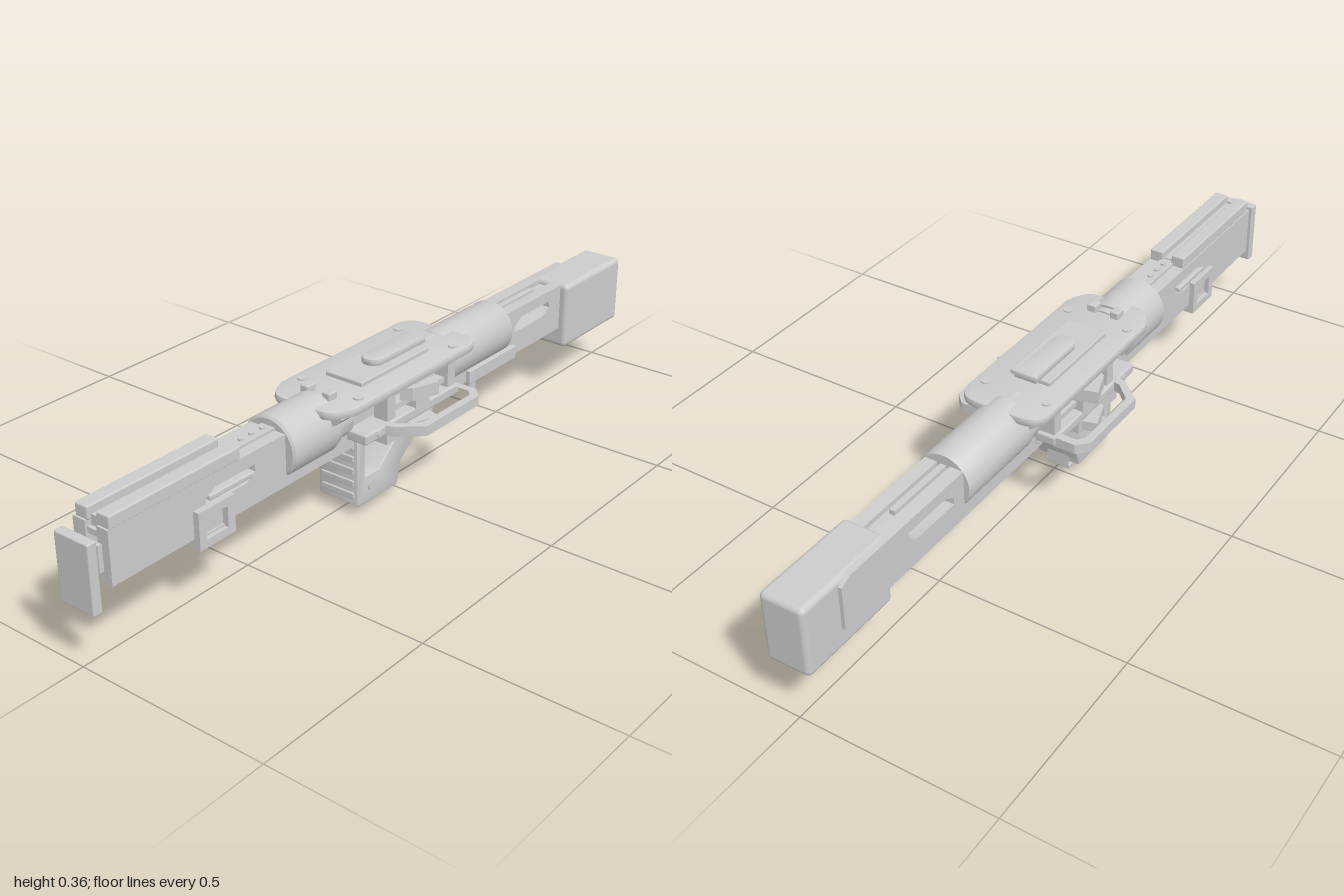
import * as THREE from 'three';
import { toCreasedNormals } from 'three/addons/utils/BufferGeometryUtils.js';
import { RoundedBoxGeometry } from 'three/addons/geometries/RoundedBoxGeometry.js';

const metal = new THREE.MeshStandardMaterial({ color: 0xcccccc });
metal.name = 'light grey';

export function createModel() {
  const model = new THREE.Group();
  model.name = 'launcher';

  const add = (name, geometry) => {
    const mesh = new THREE.Mesh(geometry, metal);
    mesh.name = name;
    model.add(mesh);
    return mesh;
  };
  // box from its limits on each axis, optionally rounded
  const box = (name, x0, x1, y0, y1, z0, z1, r = 0) => {
    const s = [x1 - x0, y1 - y0, z1 - z0];
    const g = r ? new RoundedBoxGeometry(...s, 3, r) : new THREE.BoxGeometry(...s);
    g.translate((x0 + x1) / 2, (y0 + y1) / 2, (z0 + z1) / 2);
    return add(name, g);
  };
  const poly = (pts, Type = THREE.Shape) => new Type(pts.map((p) => new THREE.Vector2(...p)));
  const extrude = (shape, depth, bevel = 0) => toCreasedNormals(new THREE.ExtrudeGeometry(shape, {
    depth: depth - 2 * bevel, bevelEnabled: bevel > 0, bevelSize: bevel, bevelOffset: -bevel,
    bevelThickness: bevel, bevelSegments: 2, curveSegments: 10,
  }).translate(0, 0, bevel), 0.6);
  // side profile in x/y, spread from z0 to z1
  const side = (name, shape, z0, z1, bevel) => add(name, extrude(shape, z1 - z0, bevel).translate(0, 0, z0));
  // plan outline in x/z, spread from y0 to y1
  const flat = (name, shape, y0, y1, bevel) =>
    add(name, extrude(shape, y1 - y0, bevel).rotateX(Math.PI / 2).translate(0, y1, 0));
  const tube = (name, profile, y = 0.27) => add(name, toCreasedNormals(new THREE.LatheGeometry(
    profile.map(([r, x]) => new THREE.Vector2(r, x)), 40), 0.6).rotateZ(-Math.PI / 2).translate(0, y, 0));
  const peg = (name, r, x, y, z, h, axis = 'y') => {
    const g = new THREE.CylinderGeometry(r, r, h, 16);
    if (axis === 'z') g.rotateX(Math.PI / 2);
    return add(name, toCreasedNormals(g.translate(x, y, z), 0.6));
  };

  // long body: two slotted side walls around a recessed core
  const slot = (x0, x1) => poly([[x0, 0.25], [x1 - 0.03, 0.25], [x1, 0.268], [x1, 0.285],
    [x0 + 0.03, 0.285], [x0, 0.267]], THREE.Path);
  for (const [z0, z1] of [[0.017, 0.05], [-0.053, -0.017]]) {
    const left = poly([[-0.945, 0.187], [0, 0.187], [0, 0.318], [-0.945, 0.318]]);
    left.holes.push(slot(-0.67, -0.515));
    side('leftBodyWall', left, z0, z1);
    const right = poly([[0, 0.187], [0.89, 0.187], [0.89, 0.3], [0.86, 0.315], [0, 0.315]]);
    right.holes.push(slot(0.5, 0.665));
    side('rightBodyWall', right, z0, z1);
  }
  box('lowerCore', -0.94, 0.1, 0.208, 0.245, -0.02, 0.02);
  box('lowerCoreFlush', 0.1, 0.86, 0.189, 0.245, -0.02, 0.02);
  box('upperCore', -0.94, 0.72, 0.288, 0.302, -0.02, 0.02);
  box('topStrip', 0.46, 0.65, 0.3, 0.314, -0.008, 0.008);

  // grooved sight rail and the rod that joins it to the sleeve
  for (const s of [-1, 1]) {
    box('sightRail', -0.94, -0.56, 0.316, 0.348, s > 0 ? 0.013 : -0.05, s > 0 ? 0.05 : -0.013, 0.004);
  }
  box('railFloor', -0.93, -0.57, 0.3, 0.328, -0.014, 0.014);
  box('railTongue', -0.57, -0.41, 0.3, 0.325, -0.02, 0.02);
  for (let i = 0; i < 4; i++) peg('railStud', 0.007, -0.54 + i * 0.035, 0.326, 0, 0.008);

  // front end plate on its neck
  box('endPlate', -1, -0.975, 0.14, 0.31, -0.05, 0.05, 0.004);
  box('endNeck', -0.976, -0.94, 0.23, 0.275, -0.025, 0.025);
  box('endNeckCollar', -0.962, -0.95, 0.22, 0.285, -0.035, 0.035);

  // rear cushion block
  box('rearBlock', 0.72, 1, 0.132, 0.317, -0.043, 0.073, 0.014);

  // round sleeves
  tube('frontSleeve', [[0, -0.415], [0.071, -0.415], [0.077, -0.41], [0.077, -0.255],
    [0.07, -0.255], [0.07, -0.235], [0.064, -0.235], [0.064, -0.19], [0, -0.19]]);
  tube('rearSleeve', [[0, 0.16], [0.066, 0.16], [0.066, 0.2], [0.071, 0.205], [0.071, 0.457],
    [0.068, 0.462], [0, 0.462]]);
  box('sleeveCatch', -0.255, -0.225, 0.33, 0.354, -0.045, -0.02, 0.004);
  box('sleeveCatch', -0.255, -0.225, 0.33, 0.354, 0.02, 0.045, 0.004);

  // top deck with sloped underside and raised lever
  const deck = new THREE.Shape();
  deck.moveTo(-0.24, -0.115);
  deck.lineTo(0.19, -0.115);
  deck.quadraticCurveTo(0.25, -0.115, 0.25, -0.06);
  deck.lineTo(0.25, 0.06);
  deck.quadraticCurveTo(0.25, 0.115, 0.19, 0.115);
  deck.lineTo(-0.24, 0.115);
  deck.quadraticCurveTo(-0.305, 0.095, -0.305, 0.06);
  deck.lineTo(-0.305, -0.06);
  deck.quadraticCurveTo(-0.305, -0.095, -0.24, -0.115);
  flat('topDeck', deck, 0.314, 0.335, 0.004);
  const under = extrude(poly([[-0.07, 0.285], [0.07, 0.285], [0.105, 0.316], [-0.105, 0.316]]), 0.5);
  add('deckUnderside', under.rotateY(Math.PI / 2).translate(-0.28, 0, 0));
  box('deckPad', -0.15, 0.11, 0.33, 0.346, -0.055, 0.055, 0.003);
  const lever = new THREE.Shape();
  lever.moveTo(0.13, 0.03);
  lever.lineTo(-0.035, 0.03);
  lever.absarc(-0.035, 0, 0.03, Math.PI / 2, Math.PI * 1.5, false);
  lever.lineTo(0.13, -0.03);
  lever.closePath();
  flat('deckLever', lever, 0.344, 0.362, 0.003);

  // carriage under the deck, mirrored, with a looped handle on each side
  for (const s of [-1, 1]) {
    const zBox = (name, x0, x1, y0, y1, a, b, r) =>
      box(name, x0, x1, y0, y1, Math.min(s * a, s * b), Math.max(s * a, s * b), r);
    zBox('carriageRail', -0.2, 0.17, 0.217, 0.243, 0.045, 0.108, 0.005);
    zBox('carriageSkirt', -0.12, 0.06, 0.187, 0.22, 0.045, 0.106);
    zBox('frontPost', -0.11, -0.08, 0.24, 0.312, 0.06, 0.1);
    zBox('middlePost', -0.01, 0.045, 0.24, 0.312, 0.06, 0.108);
    zBox('rearPost', 0.13, 0.16, 0.24, 0.312, 0.06, 0.1);
    zBox('carriageLink', -0.1, 0.14, 0.254, 0.268, 0.06, 0.09);
    const loop = poly([[-0.13, 0.1], [-0.12, 0.13], [-0.07, 0.187], [0.14, 0.187], [0.167, 0.16],
      [0.167, 0.1]].map(([x, z]) => [x, s * z]));
    loop.holes.push(poly([[-0.105, 0.1001], [-0.1, 0.125], [-0.058, 0.167], [0.13, 0.167],
      [0.146, 0.152], [0.146, 0.1001]].map(([x, z]) => [x, s * z]), THREE.Path));
    flat('sideHandle', loop, 0.217, 0.243);
    // angled lugs above and below the handle
    const lug = poly([[-0.05, 0.09], [-0.035, 0.118], [0.035, 0.143], [0.05, 0.09]].map(([x, z]) => [x, s * z]));
    flat('upperLug', lug, 0.274, 0.307);
    flat('lowerLug', lug, 0.19, 0.216);
    peg('carriageScrew', 0.008, -0.15, 0.23, s * 0.109, 0.006, 'z');
    peg('deckScrew', 0.012, -0.2, 0.336, s * 0.085, 0.005);
    peg('deckScrew', 0.012, 0.17, 0.336, s * 0.085, 0.005);
  }

  // triangular grip with an open middle, ribs and a foot
  const grip = poly([[-0.175, 0.22], [-0.175, 0.03], [-0.165, 0.022], [-0.02, 0.022],
    [-0.005, 0.08], [0.1, 0.175], [0.17, 0.205], [0.17, 0.22]]);
  grip.holes.push(poly([[-0.143, 0.205], [0.03, 0.205], [-0.09, 0.095], [-0.143, 0.095]], THREE.Path));
  side('grip', grip, -0.06, 0.06, 0.004);
  for (let i = 0; i < 5; i++) {
    box('gripRib', -0.179, -0.17, 0.045 + i * 0.033, 0.062 + i * 0.033, -0.05, 0.05, 0.003);
  }
  for (const s of [-1, 1]) peg('gripPin', 0.014, -0.12, 0.065, s * 0.06, 0.006, 'z');
  const foot = new THREE.Shape();
  foot.moveTo(-0.03, 0.008);
  foot.lineTo(0.03, 0.008);
  foot.lineTo(0.03, 0.035);
  foot.absarc(0, 0.035, 0.03, 0, Math.PI, false);
  add('footDome', extrude(foot, 0.07).rotateY(Math.PI / 2).translate(-0.085, 0, 0));
  box('footPlate', -0.11, -0.015, 0, 0.014, -0.035, 0.035, 0.003);
  box('triggerBlock', -0.09, 0.04, 0.17, 0.2, -0.03, 0.03);

  // square frame bracket hung under the front body
  const frame = poly([[-0.71, 0.162], [-0.6, 0.162], [-0.6, 0.255], [-0.71, 0.255]]);
  frame.holes.push(poly([[-0.688, 0.182], [-0.622, 0.182], [-0.622, 0.235], [-0.688, 0.235]], THREE.Path));
  for (const z of [-0.066, 0.05]) side('bracketFrame', frame, z, z + 0.016);
  box('bracketBase', -0.71, -0.6, 0.162, 0.187, -0.055, 0.055);
  box('bracketArm', -0.665, -0.53, 0.262, 0.276, -0.058, 0.058, 0.004);
  peg('bracketPeg', 0.018, -0.607, 0.16, 0, 0.035);

  // rear slide plate with its peg
  box('slidePlate', 0.28, 0.49, 0.183, 0.22, 0.03, 0.063, 0.003);
  peg('slidePeg', 0.013, 0.332, 0.164, 0.03, 0.05);

  return model;
}
